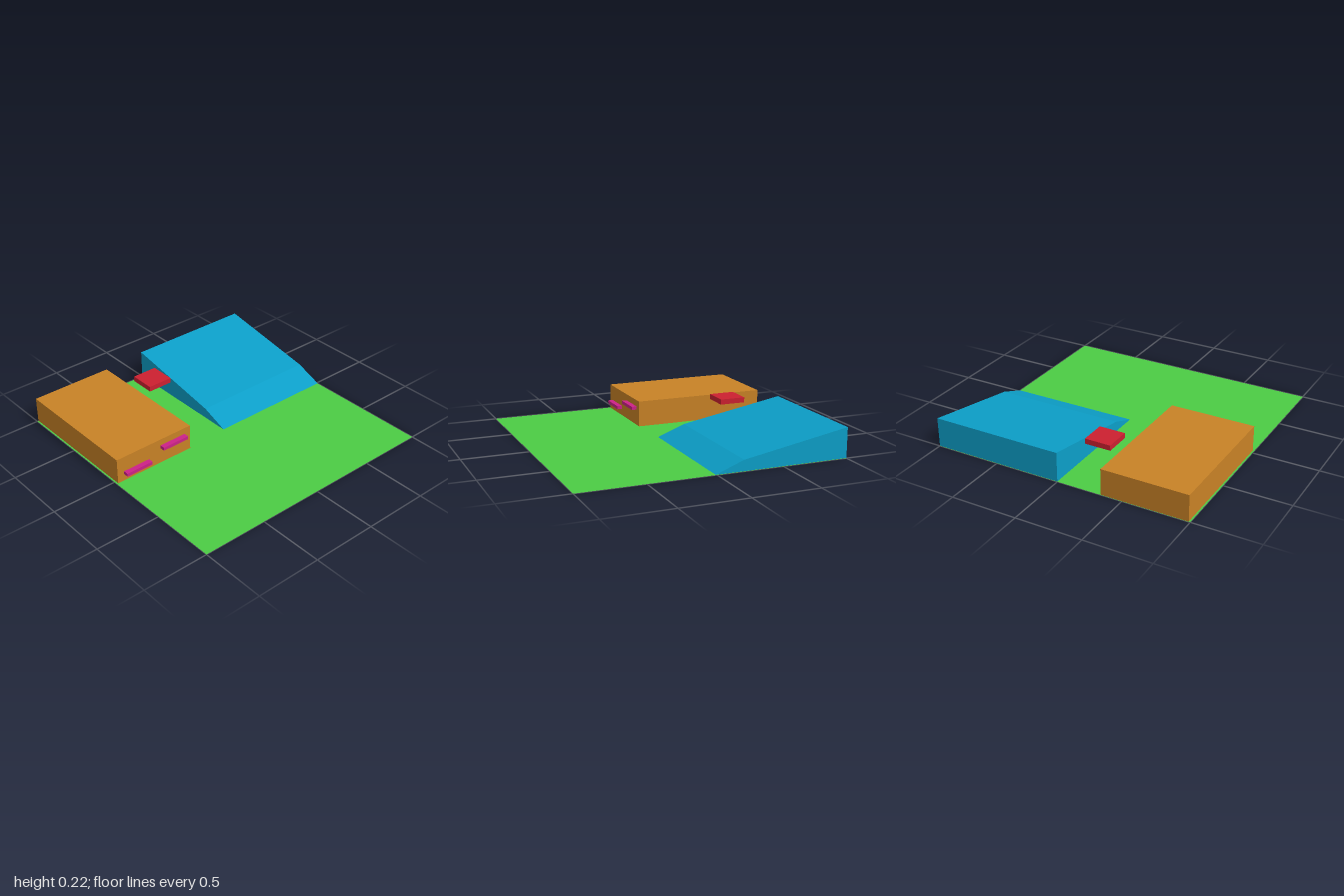
import * as THREE from 'three';

export function createModel() {
  const model = new THREE.Group();

  const add = (name, geometry, color, side = THREE.FrontSide) => {
    const mesh = new THREE.Mesh(geometry, new THREE.MeshStandardMaterial({ color, side }));
    mesh.name = name;
    model.add(mesh);
    return mesh;
  };

  // Box given by its min and max on each axis
  const block = (name, color, [x0, x1], [y0, y1], [z0, z1]) =>
    add(name, new THREE.BoxGeometry(x1 - x0, y1 - y0, z1 - z0), color)
      .position.set((x0 + x1) / 2, (y0 + y1) / 2, (z0 + z1) / 2);

  // Flat square of ground
  add('ground', new THREE.PlaneGeometry(2, 2).rotateX(-Math.PI / 2), 0x4ccc44, THREE.DoubleSide);

  // Ramp with a gentle slope that steepens near its foot
  const profile = new THREE.Shape([
    new THREE.Vector2(-1, 0.002),
    new THREE.Vector2(0.01, 0.002),
    new THREE.Vector2(-0.2, 0.082),
    new THREE.Vector2(-1, 0.225),
  ]);
  const ramp = new THREE.ExtrudeGeometry(profile, { depth: 1, bevelEnabled: false });
  add('ramp', ramp.translate(0, 0, -1), 0x0c9fc8);

  // Raised platform
  block('platform', 0xc88226, [-1, 0.03], [0.002, 0.2], [0.34, 0.99]);

  // Floating tile between platform and ramp
  block('floatingTile', 0xcc2030, [-0.74, -0.54], [0.185, 0.225], [0.065, 0.265]);

  // Ledges stepping up the platform's side
  block('lowerLedge', 0xcc2288, [0.03, 0.07], [0.055, 0.08], [0.715, 0.935]);
  block('upperLedge', 0xcc2288, [0.03, 0.07], [0.125, 0.15], [0.39, 0.61]);

  return model;
}
